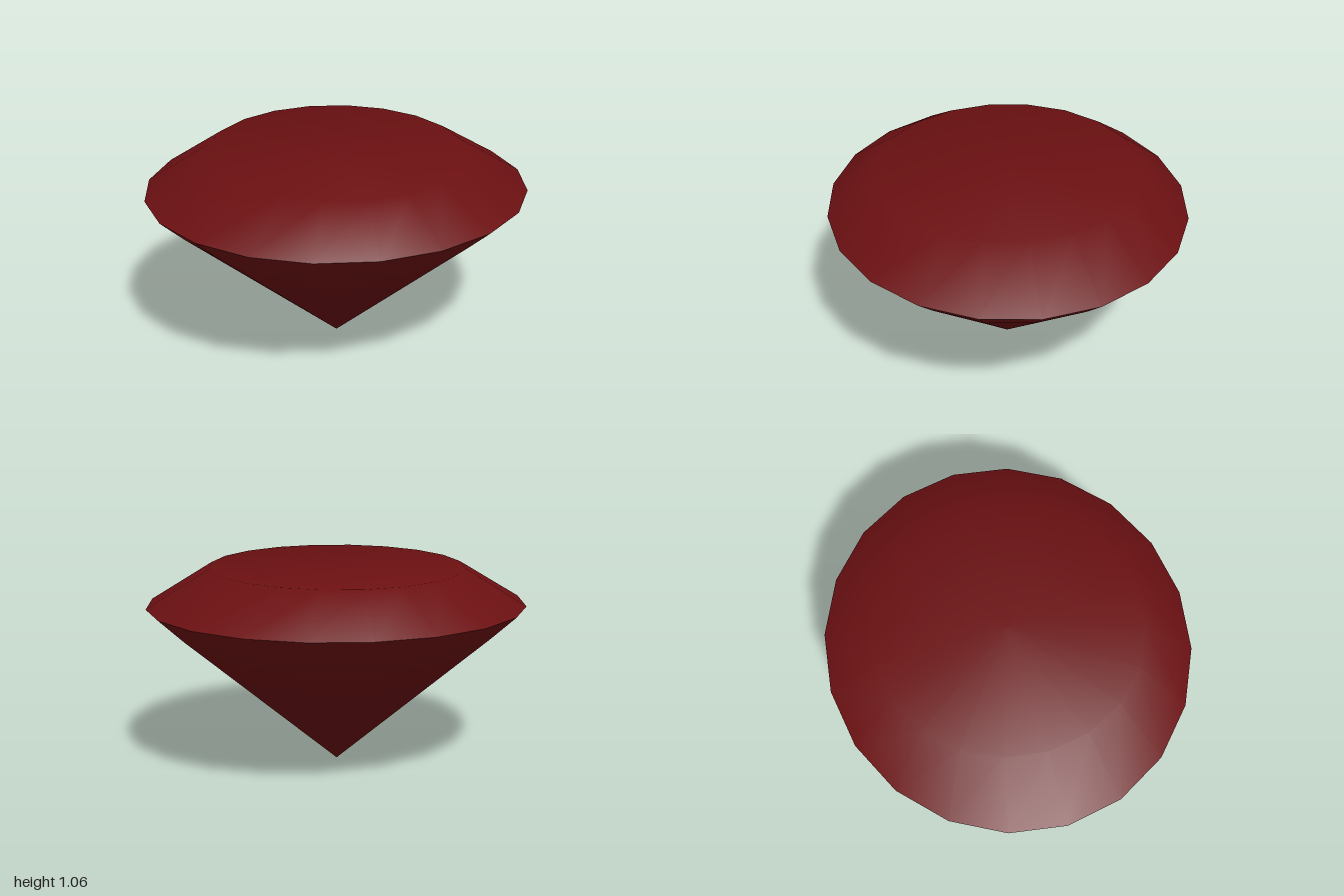
import * as THREE from 'three';

const SIDES = 20;

// Skin over elliptical rings [rx, rz, y], listed from bottom to top.
// A ring with rx = 0 collapses to one shared point, so shading stays smooth there.
function ringSkin(rings) {
  const positions = [];
  const index = [];
  const starts = rings.map(([rx, rz, y]) => {
    const start = positions.length / 3;
    const count = rx === 0 ? 1 : SIDES;
    for (let i = 0; i < count; i++) {
      const a = (i / SIDES) * Math.PI * 2;
      positions.push(rx * Math.cos(a), y, rz * Math.sin(a));
    }
    return start;
  });
  const at = (r, i) => starts[r] + (rings[r][0] === 0 ? 0 : i % SIDES);

  for (let r = 0; r < rings.length - 1; r++) {
    for (let i = 0; i < SIDES; i++) {
      const p = at(r, i), q = at(r, i + 1);
      const u = at(r + 1, i), v = at(r + 1, i + 1);
      if (p !== q) index.push(p, u, q);
      if (u !== v) index.push(q, u, v);
    }
  }
  const geometry = new THREE.BufferGeometry();
  geometry.setAttribute('position', new THREE.Float32BufferAttribute(positions, 3));
  geometry.setIndex(index);
  geometry.computeVertexNormals();
  return geometry;
}

export function createModel() {
  const group = new THREE.Group();
  group.name = 'gemstone';
  const material = new THREE.MeshStandardMaterial({ color: 0x6b1012 });

  const add = (name, rings) => {
    const mesh = new THREE.Mesh(ringSkin(rings), material);
    mesh.name = name;
    group.add(mesh);
  };

  // Pointed lower half, from the tip up to the girdle
  add('pavilion', [[0, 0, 0], [0.87, 0.8, 0.74], [1, 0.93, 0.86]]);
  // Sloping upper band and flat table; separate mesh keeps the girdle edge sharp
  add('crown', [[1, 0.93, 0.86], [0.67, 0.69, 1.06], [0, 0, 1.06]]);

  return group;
}
